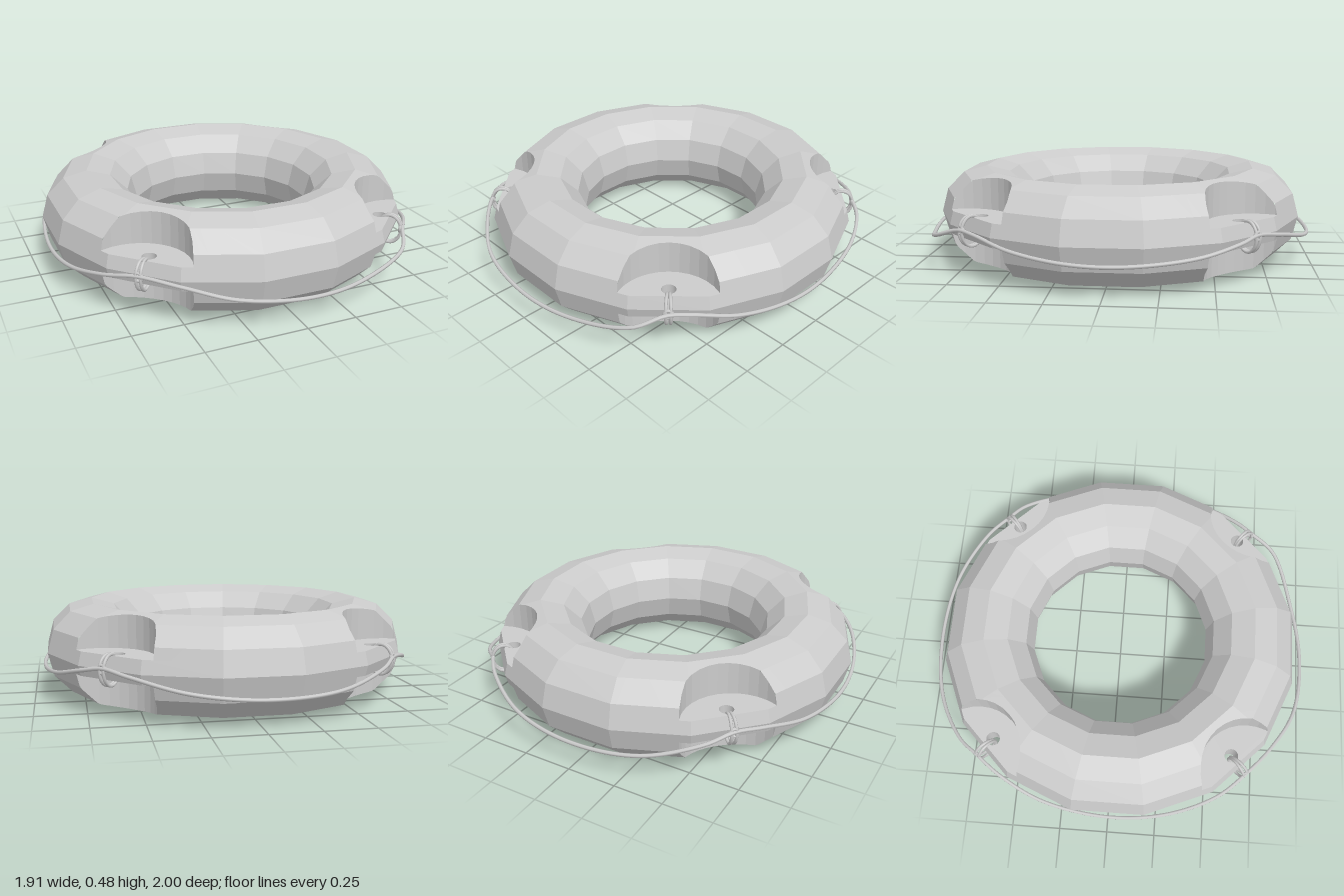
import * as THREE from 'three';

const SEG = Math.PI / 8;                 // 16 flat segments round the ring
const R = 0.695, TUBE = 0.235, HALF = 0.238, MID = 0.24;
const NOTCH_X = 0.976, NOTCH_R = 0.245, NOTCH_SIDES = 32;
const HOLE_X = 0.863, HOLE_R = 0.035;
const FLOORS = [{ s: 1, y: 0.305 }, { s: -1, y: 0.19 }];
const V = (x, y, z) => new THREE.Vector3(x, y, z);

// outer quarter of the 12-sided tube section: [radius, height above the middle]
const PROFILE = [0, 1, 2, 3].map(i => {
  const t = i * Math.PI / 6;
  return [R + TUBE * Math.cos(t), HALF * Math.sin(t)];
});

function radiusAt(h) {
  const i = h < PROFILE[1][1] ? 0 : h < PROFILE[2][1] ? 1 : 2;
  const [a, b] = [PROFILE[i], PROFILE[i + 1]];
  return a[0] + (b[0] - a[0]) * (h - a[1]) / (b[1] - a[1]);
}

function heightAt(x, z) {
  const r = Math.max(...[-1, 0, 1].map(k => x * Math.cos(k * SEG) + z * Math.sin(k * SEG)));
  const i = r > PROFILE[1][0] ? 0 : r > PROFILE[2][0] ? 1 : 2;
  const [a, b] = [PROFILE[i], PROFILE[i + 1]];
  return Math.max(0, a[1] + (b[1] - a[1]) * (r - a[0]) / (b[0] - a[0]));
}

// keep the part of a convex polygon where side * (distance to plane) >= 0
function clip(poly, plane, side) {
  const out = [];
  poly.forEach((p, i) => {
    const q = poly[(i + 1) % poly.length];
    const a = side * plane.distanceToPoint(p), b = side * plane.distanceToPoint(q);
    if (a >= 0) out.push(p);
    if (a * b < 0) out.push(p.clone().lerp(q, a / (a - b)));
  });
  return out;
}

// remove a convex cutter from a polygon
function subtract(poly, planes) {
  const pieces = [];
  let rest = poly;
  for (const plane of planes) {
    const out = clip(rest, plane, 1);
    if (out.length > 2) pieces.push(out);
    rest = clip(rest, plane, -1);
    if (rest.length < 3) return [poly];
  }
  return pieces;
}

function polygonGeometry(polys) {
  const pos = [];
  for (const p of polys)
    for (let i = 1; i < p.length - 1; i++)
      for (const v of [p[0], p[i], p[i + 1]]) pos.push(v.x, v.y, v.z);
  const g = new THREE.BufferGeometry();
  g.setAttribute('position', new THREE.Float32BufferAttribute(pos, 3));
  g.computeVertexNormals();
  return g;
}

// four segments of the ring, with the notch cutters taken out
function ringGeometry() {
  const point = (i, j) => {
    const a = (i - 0.5) * SEG, t = j * Math.PI / 6;
    const r = (R + TUBE * Math.cos(t)) / Math.cos(SEG / 2);
    return V(r * Math.cos(a), MID + HALF * Math.sin(t), r * Math.sin(a));
  };
  let polys = [];
  for (let i = -1; i < 3; i++)
    for (let j = 0; j < 12; j++)
      polys.push([point(i, j), point(i, j + 1), point(i + 1, j + 1), point(i + 1, j)]);
  for (const { s, y } of FLOORS) {
    const planes = [new THREE.Plane(V(0, -s, 0), s * y)];
    for (let k = 0; k < NOTCH_SIDES; k++) {
      const a = (k + 0.5) * 2 * Math.PI / NOTCH_SIDES;
      const n = V(Math.cos(a), 0, Math.sin(a));
      planes.push(new THREE.Plane(n, -NOTCH_X * n.x - NOTCH_R * Math.cos(Math.PI / NOTCH_SIDES)));
    }
    polys = polys.flatMap(p => subtract(p, planes));
  }
  return polygonGeometry(polys);
}

// outline of a notch floor: the cutter circle trimmed by the ring's outside
function floorOutline({ y }) {
  let poly = [];
  for (let k = 0; k < NOTCH_SIDES; k++) {
    const a = k * 2 * Math.PI / NOTCH_SIDES;
    poly.push(V(NOTCH_X + NOTCH_R * Math.cos(a), y, NOTCH_R * Math.sin(a)));
  }
  for (const k of [-1, 0, 1])
    poly = clip(poly, new THREE.Plane(V(Math.cos(k * SEG), 0, Math.sin(k * SEG)), -radiusAt(Math.abs(y - MID))), -1);
  return poly;
}

function floorGeometry(floor) {
  const shape = new THREE.Shape(floorOutline(floor).map(p => new THREE.Vector2(p.x, p.z)));
  shape.holes.push(new THREE.Path().absarc(HOLE_X, 0, HOLE_R, 0, Math.PI * 2, true));
  return new THREE.ShapeGeometry(shape, 10).rotateX(-floor.s * Math.PI / 2).translate(0, floor.y, 0);
}

function wallGeometry(floor) {
  const outline = floorOutline(floor), polys = [], steps = 4;
  const onCircle = p => Math.hypot(p.x - NOTCH_X, p.z) > NOTCH_R * 0.99;
  const rim = p => V(p.x, MID + floor.s * heightAt(p.x, p.z), p.z);
  outline.forEach((p, i) => {
    const q = outline[(i + 1) % outline.length];
    if (!onCircle(p) || !onCircle(q) || p.distanceTo(q) > 0.1) return;
    for (let k = 0; k < steps; k++) {
      const a = p.clone().lerp(q, k / steps), b = p.clone().lerp(q, (k + 1) / steps);
      const quad = [a, b, rim(b), rim(a)];
      polys.push(floor.s > 0 ? quad : quad.reverse());
    }
  });
  return polygonGeometry(polys);
}

const tube = (points, n, r) =>
  new THREE.TubeGeometry(new THREE.CatmullRomCurve3(points, true), n, r, 6, true);

export function createModel() {
  const model = new THREE.Group();
  const flat = new THREE.MeshStandardMaterial({ color: 0xcccccc, flatShading: true });
  const smooth = new THREE.MeshStandardMaterial({ color: 0xcccccc });
  const inside = new THREE.MeshStandardMaterial({ color: 0xcccccc, side: THREE.BackSide });
  const add = (parent, name, geometry, material) => {
    const mesh = new THREE.Mesh(geometry, material);
    mesh.name = name;
    parent.add(mesh);
  };

  // buoy body: four equal quarters, each with an upper and a lower notch
  const ring = ringGeometry();
  const floors = FLOORS.map(floorGeometry), walls = FLOORS.map(wallGeometry);
  const holeHeight = FLOORS[0].y - FLOORS[1].y;
  const hole = new THREE.CylinderGeometry(HOLE_R, HOLE_R, holeHeight, 20, 1, true)
    .translate(HOLE_X, FLOORS[1].y + holeHeight / 2, 0);

  // lashing through the hole: two strands round the plate and a wrap on the rope
  const strand = offset => tube(Array.from({ length: 10 }, (_, i) => {
    const a = i * Math.PI / 5;
    return V(0.918 + 0.058 * Math.cos(a), 0.24 + 0.073 * Math.sin(a), offset * (1 + 0.5 * Math.cos(a)));
  }), 32, 0.008);
  const strands = [strand(-0.008), strand(0.008)];
  const wrap = new THREE.TorusGeometry(0.019, 0.008, 6, 14).rotateY(Math.PI / 2).translate(0.972, 0.25, 0);

  for (let k = 0; k < 4; k++) {
    const quarter = new THREE.Group();
    quarter.name = 'buoyQuarter';
    quarter.rotation.y = Math.PI / 4 + k * Math.PI / 2;
    add(quarter, 'ring', ring, flat);
    FLOORS.forEach(({ s }, i) => {
      const side = s > 0 ? 'upper' : 'lower';
      add(quarter, side + 'NotchFloor', floors[i], flat);
      add(quarter, side + 'NotchWall', walls[i], smooth);
    });
    add(quarter, 'ropeHole', hole, inside);
    strands.forEach(g => add(quarter, 'lashing', g, smooth));
    add(quarter, 'lashingWrap', wrap, smooth);
    model.add(quarter);
  }

  // grab rope sagging between the four lashings
  const rope = [
    [-0.69, 0.255, 0.69], [-0.53, 0.235, 0.83], [-0.32, 0.19, 0.95], [0, 0.15, 0.988],
    [0.3, 0.147, 0.94], [0.6, 0.205, 0.83], [0.69, 0.25, 0.7], [0.76, 0.245, 0.61],
    [0.87, 0.2, 0.42], [0.935, 0.165, 0.16], [0.942, 0.16, -0.1], [0.88, 0.19, -0.42],
    [0.78, 0.235, -0.61], [0.69, 0.255, -0.69], [0.58, 0.235, -0.8], [0.33, 0.18, -0.94],
    [0, 0.15, -0.99], [-0.35, 0.165, -0.94], [-0.6, 0.225, -0.8], [-0.69, 0.255, -0.69],
    [-0.78, 0.24, -0.57], [-0.89, 0.19, -0.34], [-0.942, 0.16, 0], [-0.91, 0.175, 0.3],
    [-0.81, 0.225, 0.55]
  ].map(p => V(...p));
  add(model, 'grabRope', tube(rope, 200, 0.01), smooth);
  return model;
}
